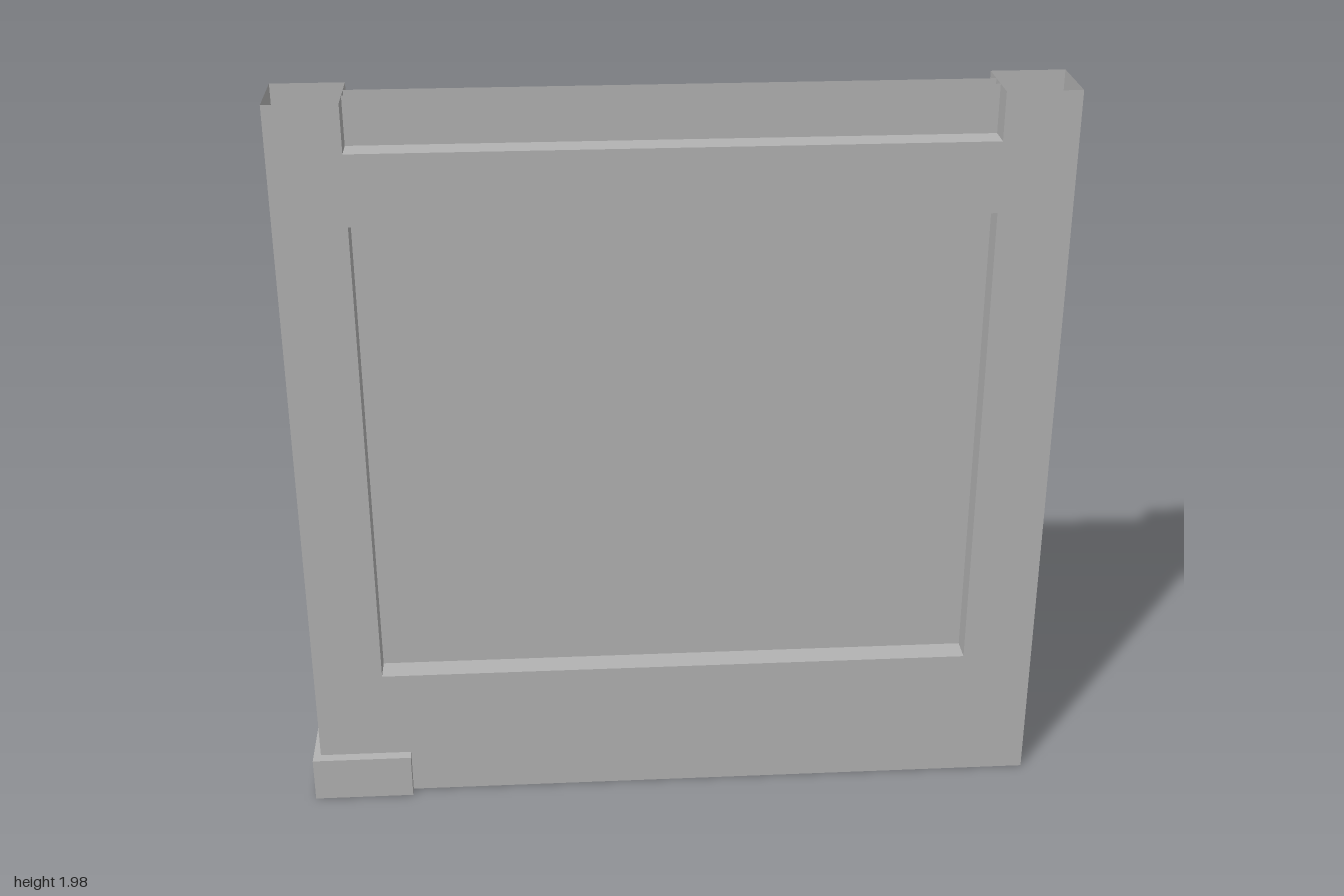
import * as THREE from 'three';

// Overall limits of the frame, its opening and its foot sleeve
const X0 = -0.98, X1 = 1.0, TOP = 1.98, D = 0.093;
const IN0 = -0.795, IN1 = 0.81;          // inner faces of the two posts
const SILL = 0.375, HEAD = 1.67, RAIL = 1.855;
const SHEET = 0.025;                     // half gap between the two panel sheets
const FOOT = { x0: -1.0, x1: -0.73, h: 0.125, d: 0.122 };

export function createModel() {
  const group = new THREE.Group();
  const grey = new THREE.MeshStandardMaterial({ color: 0xb2b2b2, side: THREE.DoubleSide });
  grey.name = 'grey';

  const add = (name, geometry) => {
    const mesh = new THREE.Mesh(geometry, grey);
    mesh.name = name;
    group.add(mesh);
  };
  // Thin walls: facing z, facing x and facing y
  const wallZ = (name, x0, x1, y0, y1, z, out = 1) => {
    const g = new THREE.PlaneGeometry(x1 - x0, y1 - y0);
    if (out < 0) g.rotateY(Math.PI);
    add(name, g.translate((x0 + x1) / 2, (y0 + y1) / 2, z));
  };
  const wallX = (name, x, y0, y1, d, out = 1) =>
    add(name, new THREE.PlaneGeometry(2 * d, y1 - y0).rotateY(out * Math.PI / 2).translate(x, (y0 + y1) / 2, 0));
  const wallY = (name, x0, x1, y, d, out = 1) =>
    add(name, new THREE.PlaneGeometry(x1 - x0, 2 * d).rotateX(-out * Math.PI / 2).translate((x0 + x1) / 2, y, 0));

  // Frame face: notched at the top between the posts, with a window
  const face = new THREE.Shape([
    [X0, 0], [X1, 0], [X1, TOP], [IN1, TOP], [IN1, RAIL], [IN0, RAIL], [IN0, TOP], [X0, TOP],
  ].map(p => new THREE.Vector2(...p)));
  face.holes.push(new THREE.Path([
    [IN0, SILL], [IN0, HEAD], [IN1, HEAD], [IN1, SILL],
  ].map(p => new THREE.Vector2(...p))));

  for (const s of [1, -1]) {
    const side = s > 0 ? 'front' : 'back';
    const g = new THREE.ShapeGeometry(face);
    if (s < 0) {
      // mirror in z and turn the triangles round
      g.scale(1, 1, -1);
      const a = g.index.array;
      for (let i = 0; i < a.length; i += 3) [a[i], a[i + 1]] = [a[i + 1], a[i]];
      g.computeVertexNormals();
    }
    add(side + 'FrameFace', g.translate(0, 0, s * D));
    // Recessed sheet, rising to the top of the posts
    wallZ(side + 'PanelSheet', IN0, IN1, SILL, TOP, s * SHEET, s);
    // Foot sleeve side
    wallZ(side + 'FootWall', FOOT.x0, FOOT.x1, 0, FOOT.h, s * FOOT.d, s);
  }

  // Hollow posts, open at the top
  wallX('rightPostOuterWall', X0, 0, TOP, D, -1);
  wallX('rightPostInnerWall', IN0, 0, TOP, D, 1);
  wallX('leftPostOuterWall', X1, 0, TOP, D, 1);
  wallX('leftPostInnerWall', IN1, 0, TOP, D, -1);

  // Rail, window head, sill and underside
  wallY('topRailLedge', IN0, IN1, RAIL, D, 1);
  wallY('windowHead', IN0, IN1, HEAD, D, -1);
  wallY('windowSill', IN0, IN1, SILL, D, 1);
  wallY('frameUnderside', X0, X1, 0, D, -1);

  // Foot sleeve ends and lid, open below
  wallX('footOuterEnd', FOOT.x0, 0, FOOT.h, FOOT.d, -1);
  wallX('footInnerEnd', FOOT.x1, 0, FOOT.h, FOOT.d, 1);
  wallY('footLid', FOOT.x0, FOOT.x1, FOOT.h, FOOT.d, 1);

  return group;
}
